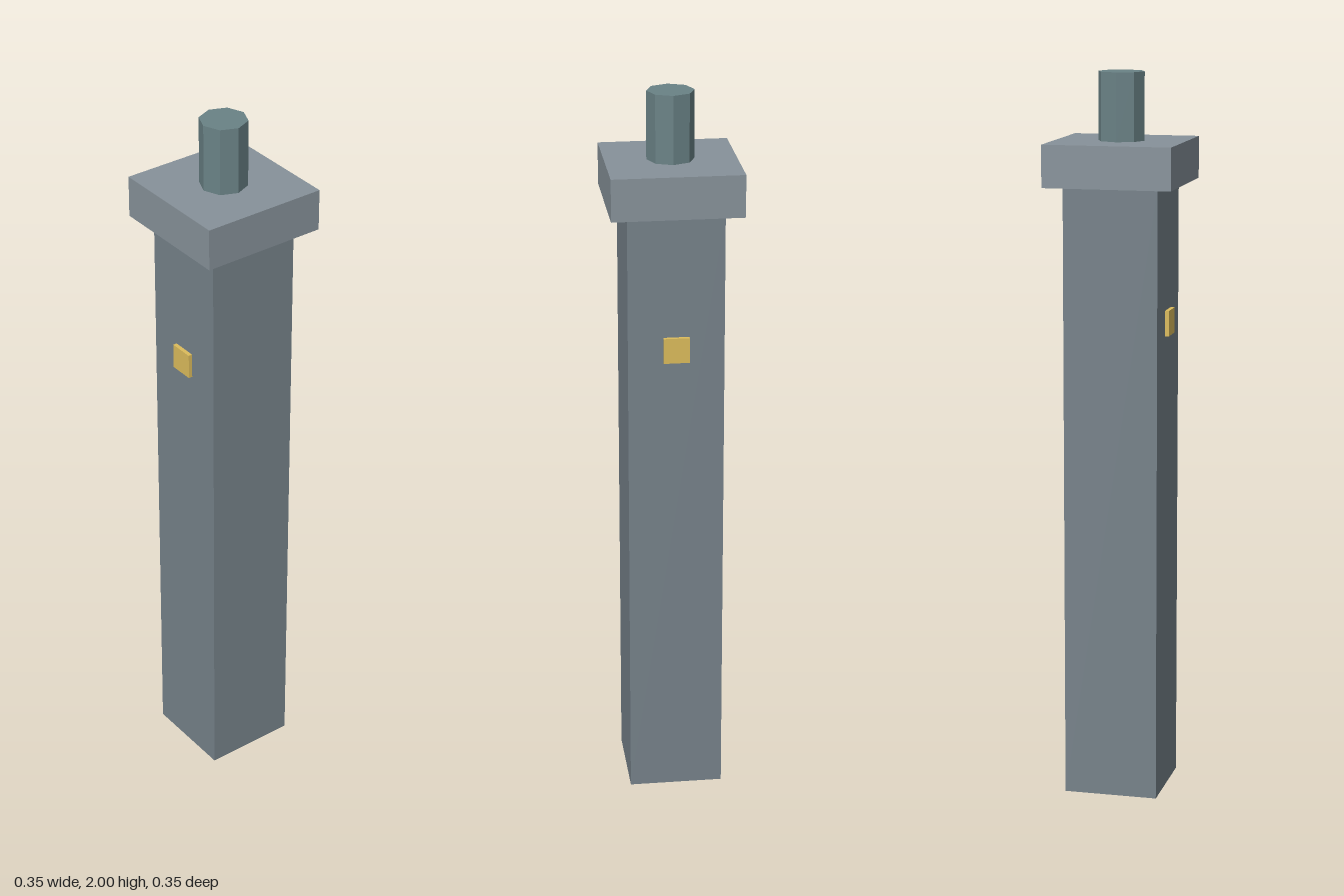
import * as THREE from 'three';

export function createModel() {
  const model = new THREE.Group();

  const add = (name, geometry, color, x, y) => {
    const material = new THREE.MeshStandardMaterial({ color, flatShading: true });
    const mesh = new THREE.Mesh(geometry, material);
    mesh.name = name;
    mesh.position.set(x, y, 0);
    model.add(mesh);
  };

  // Square post and its overhanging cap
  add('post', new THREE.BoxGeometry(0.26, 1.7, 0.26), 0x76828a, 0, 0.85);
  add('cap', new THREE.BoxGeometry(0.352, 0.115, 0.352), 0x87929a, 0, 1.7575);

  // Eight-sided peg standing on the cap
  add('peg', new THREE.CylinderGeometry(0.064, 0.064, 0.185, 8), 0x6a8286, 0, 1.9075);

  // Small yellow plates on both sides, set slightly into the post
  for (const [name, side] of [['leftPlate', 1], ['rightPlate', -1]]) {
    add(name, new THREE.BoxGeometry(0.02, 0.07, 0.07), 0xdcbc5c, side * 0.131, 1.325);
  }

  return model;
}
